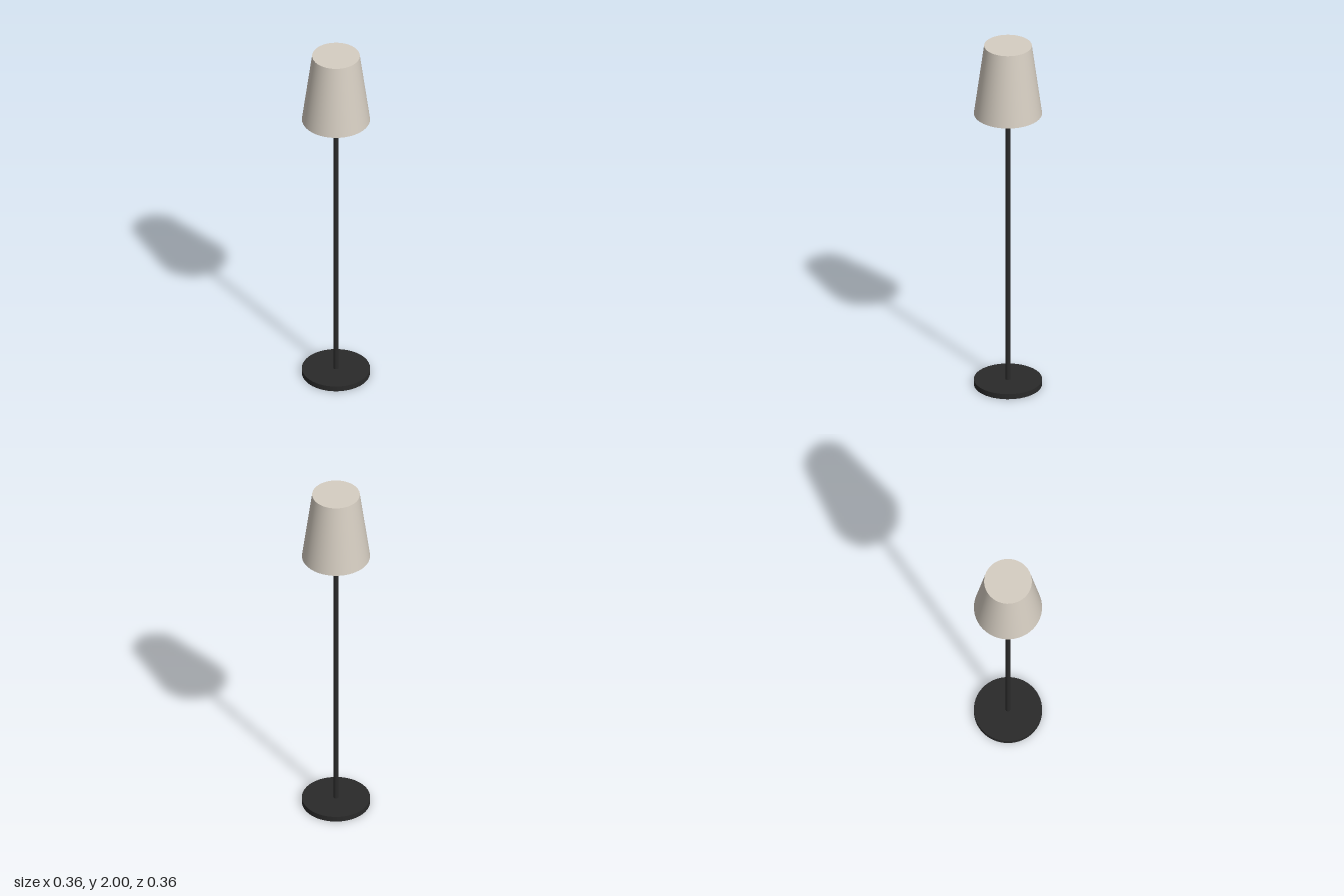
import * as THREE from 'three';

export function createModel() {
  const lamp = new THREE.Group();
  lamp.name = 'floorLamp';

  const blackMetal = new THREE.MeshStandardMaterial({ color: 0x2a2a2a });
  blackMetal.name = 'black metal';
  const creamFabric = new THREE.MeshStandardMaterial({ color: 0xd6cec2 });
  creamFabric.name = 'cream fabric';

  // Adds an upright round part spanning two heights
  function addRound(name, topRadius, bottomRadius, bottom, top, sides, material) {
    const geometry = new THREE.CylinderGeometry(topRadius, bottomRadius, top - bottom, sides);
    const mesh = new THREE.Mesh(geometry, material);
    mesh.name = name;
    mesh.position.y = (bottom + top) / 2;
    lamp.add(mesh);
  }

  // Flat disc foot, thin pole and closed tapered shade
  addRound('base', 0.18, 0.18, 0, 0.03, 48, blackMetal);
  addRound('pole', 0.0135, 0.0135, 0.03, 1.62, 24, blackMetal);
  addRound('shade', 0.126, 0.18, 1.6, 2, 48, creamFabric);

  return lamp;
}
